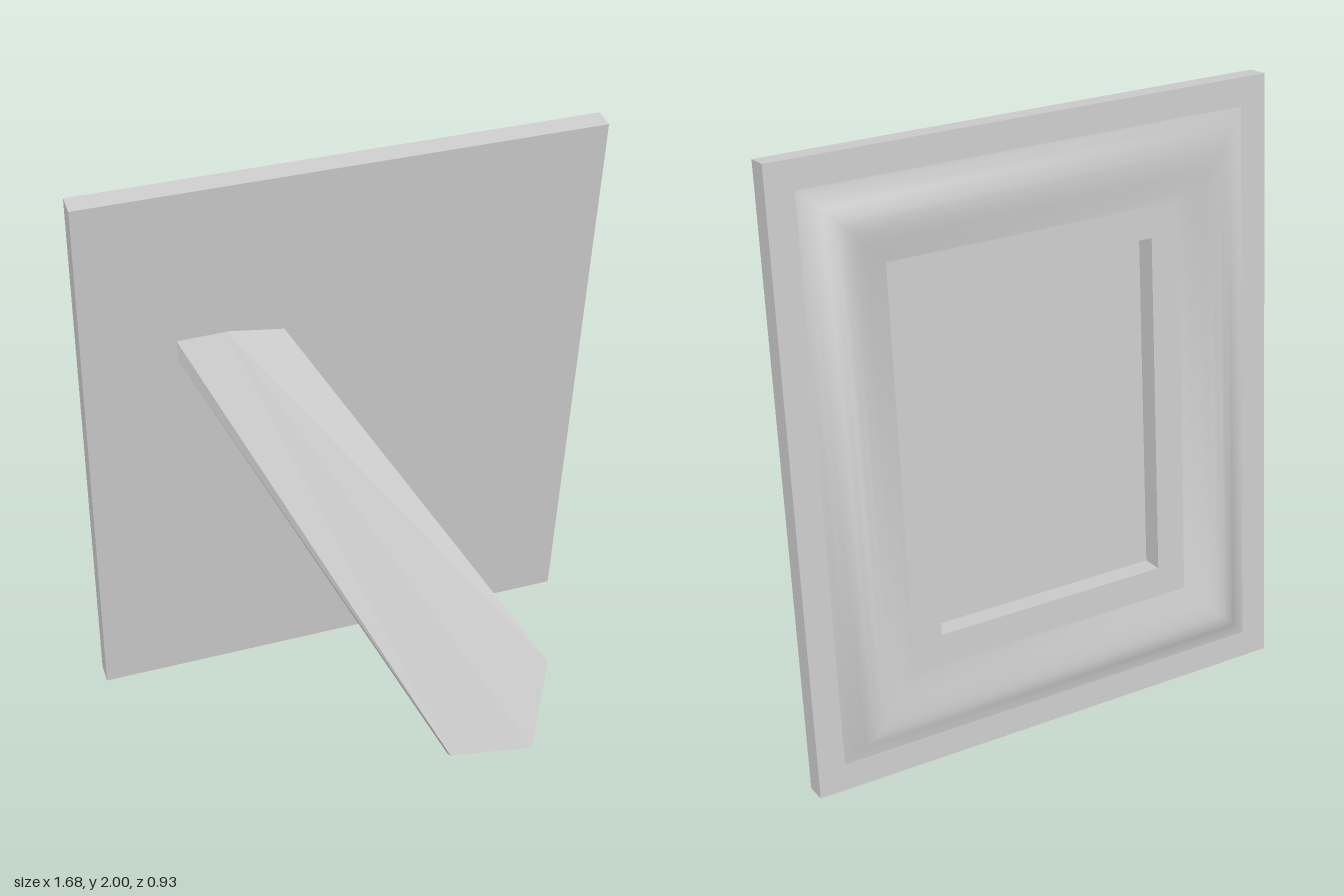
import * as THREE from 'three';

const W = 0.84, H = 1.0; // half width and half height of the frame

// Mitred band running around the frame; profile points are [inset from edge, z]
function ringBand(profile, smooth) {
  const pos = [], index = [];
  for (const [d, z] of profile) {
    const w = W - d, h = H - d;
    pos.push(-w, -h, z, w, -h, z, w, h, z, -w, h, z);
  }
  for (let r = 0; r < profile.length - 1; r++) {
    for (let i = 0; i < 4; i++) {
      const a = r * 4 + i, b = r * 4 + (i + 1) % 4;
      index.push(a, a + 4, b, b, a + 4, b + 4);
    }
  }
  let geo = new THREE.BufferGeometry();
  geo.setAttribute('position', new THREE.Float32BufferAttribute(pos, 3));
  geo.setIndex(index);
  if (!smooth) geo = geo.toNonIndexed();
  geo.computeVertexNormals();
  return geo;
}

// Prism between matching front and back outlines (counter-clockwise from the front)
function prism(front, back) {
  const n = front.length, index = [];
  for (let i = 1; i < n - 1; i++) {
    index.push(0, i, i + 1, n, n + i + 1, n + i);
  }
  for (let i = 0; i < n; i++) {
    const j = (i + 1) % n;
    index.push(i, n + i, j, j, n + i, n + j);
  }
  let geo = new THREE.BufferGeometry();
  geo.setAttribute('position', new THREE.Float32BufferAttribute([...front, ...back].flat(), 3));
  geo.setIndex(index);
  geo = geo.toNonIndexed();
  geo.computeVertexNormals();
  return geo;
}

export function createModel() {
  const model = new THREE.Group();
  const grey = new THREE.MeshStandardMaterial({ color: 0xcccccc, side: THREE.DoubleSide });
  const add = (parent, name, geo) => {
    const mesh = new THREE.Mesh(geo, grey);
    mesh.name = name;
    parent.add(mesh);
    return mesh;
  };

  // Leaning frame; its display side faces -z
  const frame = new THREE.Group();
  frame.name = 'frame';
  frame.position.set(0, 1.0, -0.25);
  frame.rotation.set(0.095, -0.027, 0);
  model.add(frame);

  add(frame, 'backPanel', new THREE.PlaneGeometry(2 * W, 2 * H));
  add(frame, 'outerBorder', ringBand([[0, 0], [0, -0.07], [0.09, -0.07]], false));

  // Rounded moulding, smooth across the profile
  add(frame, 'moulding', ringBand([
    [0.09, -0.07], [0.12, -0.08], [0.15, -0.102], [0.18, -0.122], [0.21, -0.126],
    [0.24, -0.121], [0.27, -0.112], [0.31, -0.098], [0.34, -0.09],
  ], true));

  // Flat inner mount and the walls of the picture recess
  add(frame, 'innerMount', ringBand([[0.34, -0.09], [0.44, -0.09], [0.44, -0.02]], false));
  const picture = add(frame, 'picture', new THREE.PlaneGeometry(2 * (W - 0.44), 2 * (H - 0.44)));
  picture.position.z = -0.02;
  picture.rotation.y = Math.PI;

  // Slanted support leg, its top end let into the back panel
  const legFront = [
    [-0.39, 1.475, -0.222], [-0.545, 1.47, -0.225], [0.15, 0.02, 0.405],
    [0.42, 0.025, 0.467], [0.51, 0.3, 0.367], [-0.2, 1.44, -0.218],
  ];
  const legBack = legFront.map(([x, y, z]) => (y > 1 ? [x, y - 0.07, z - 0.012] : [x, y - 0.015, z - 0.025]));
  add(model, 'supportLeg', prism(legFront, legBack));

  return model;
}
